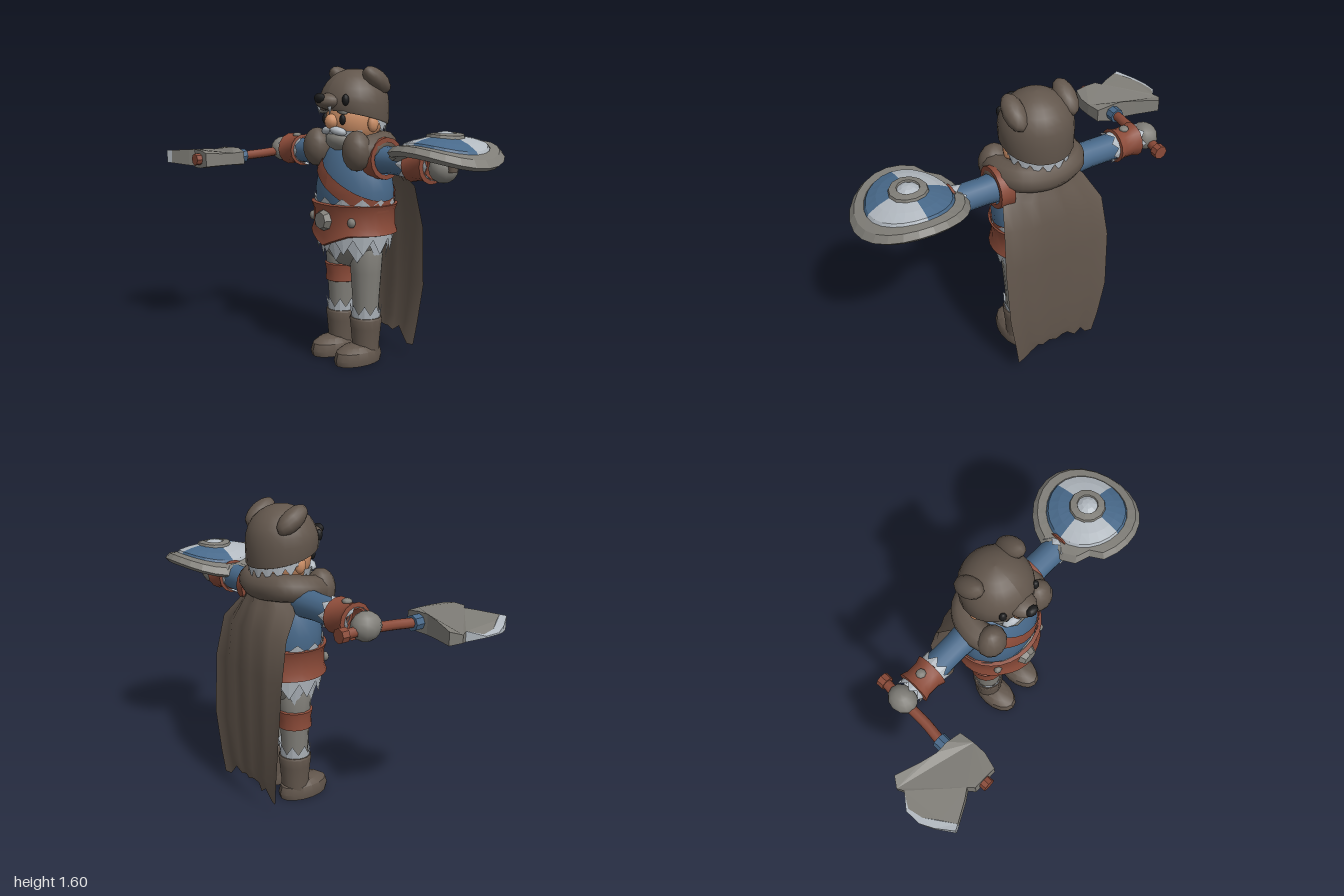
import * as THREE from 'three';
import { toCreasedNormals } from 'three/addons/utils/BufferGeometryUtils.js';

const CX = 0.04, CZ = -0.185;
const V = (x, y, z) => new THREE.Vector3(x, y, z);

function colour(name, hex, open) {
  const m = new THREE.MeshStandardMaterial({ color: hex });
  m.name = name;
  if (open) m.side = THREE.DoubleSide;
  return m;
}
function add(parent, name, geo, mat, x = 0, y = 0, z = 0) {
  const m = new THREE.Mesh(geo, mat);
  m.name = name;
  m.position.set(x, y, z);
  parent.add(m);
  return m;
}
function flat(geo) {
  const g = geo.index ? geo.toNonIndexed() : geo;
  g.computeVertexNormals();
  return g;
}
function lathe(pts, seg = 16, sx = 1, sz = 1, start = 0, len = Math.PI * 2) {
  return new THREE.LatheGeometry(pts.map(p => new THREE.Vector2(p[0], p[1])), seg, start, len).scale(sx, 1, sz);
}
const crease = g => toCreasedNormals(g, 0.6);
const ball = (rx, ry, rz, w = 16, h = 10) => new THREE.SphereGeometry(1, w, h).scale(rx, ry, rz);

// move every vertex by a rule
function warp(geo, rule) {
  const p = geo.attributes.position, v = V(0, 0, 0);
  for (let i = 0; i < p.count; i++) {
    v.fromBufferAttribute(p, i);
    rule(v);
    p.setXYZ(i, v.x, v.y, v.z);
  }
  geo.computeVertexNormals();
  return geo;
}
// grid surface from a function of u and v
function sheet(nu, nv, fn) {
  const pos = [], idx = [];
  for (let j = 0; j <= nv; j++) for (let i = 0; i <= nu; i++) pos.push(...fn(i, j));
  for (let j = 0; j < nv; j++) for (let i = 0; i < nu; i++) {
    const a = j * (nu + 1) + i, b = a + nu + 1;
    idx.push(a, b, a + 1, b, b + 1, a + 1);
  }
  const g = new THREE.BufferGeometry();
  g.setAttribute('position', new THREE.Float32BufferAttribute(pos, 3));
  g.setIndex(idx);
  g.computeVertexNormals();
  return g;
}
// ring of pointed fur tufts running from y0 to tips at y1
function fur(rx, rz, y0, y1, n, flare = 0.06, from = 0, len = Math.PI * 2) {
  return flat(sheet(2 * n, 1, (i, j) => {
    const a = from + len * i / (2 * n), tip = i % 2 ? 0.35 : 1;
    const r = j ? 1 + flare * tip : 1;
    return [rx * r * Math.sin(a), j ? y0 + (y1 - y0) * tip : y0, rz * r * Math.cos(a)];
  }));
}

export function createModel() {
  const root = new THREE.Group();
  root.name = 'warrior';
  const brown = colour('brown hide', 0x62564c, true), leather = colour('red leather', 0x8a4a38, true);
  const light = colour('pale fur', 0xb2b9c0, true), grey = colour('grey', 0x807e78);
  const blue = colour('blue cloth', 0x48698a), skin = colour('skin', 0xcf9168), black = colour('black', 0x1b1b1c);

  // torso and pelvis
  const prof = [[0.2, 0.72], [0.235, 0.84], [0.243, 0.95], [0.225, 1.05], [0.18, 1.14], [0.12, 1.2], [0, 1.24]];
  add(root, 'torso', lathe(prof, 20, 1, 0.78), blue, CX, 0, CZ);
  add(root, 'pelvis', lathe([[0, 0.5], [0.1, 0.53], [0.17, 0.6], [0.21, 0.69], [0.22, 0.75], [0, 0.76]], 14, 1, 0.84), grey, CX, 0, CZ);
  const halfWidth = y => {
    const i = Math.min(prof.findIndex(p => p[1] > y), prof.length - 1), a = prof[i - 1], b = prof[i];
    return a[0] + (b[0] - a[0]) * (y - a[1]) / (b[1] - a[1]);
  };
  // diagonal strap following the torso
  add(root, 'chestStrap', sheet(32, 3, (i, j) => {
    const a = i / 32 * Math.PI * 2, y = 1.0 - 0.14 * Math.sin(a) + (0.5 - j / 3) * 0.085;
    const r = halfWidth(y) + 0.008;
    return [r * Math.sin(a), y, (r * 0.78 + 0.002) * Math.cos(a)];
  }), leather, CX, 0, CZ);

  // belt with a dipped front, buckle and studs
  const belt = lathe([[0.235, 0.715], [0.254, 0.72], [0.24, 0.76], [0.24, 0.84], [0.254, 0.875], [0.23, 0.88]], 28, 1, 0.87);
  warp(belt, v => { if (v.z > 0 && v.y < 0.8) v.y -= 0.065 * Math.max(0, 1 - Math.abs(v.x) / 0.16); });
  add(root, 'belt', crease(belt), leather, CX, 0, CZ);
  add(root, 'buckle', flat(new THREE.CylinderGeometry(0.045, 0.06, 0.035, 8).rotateX(Math.PI / 2)), grey, CX, 0.79, 0.035);
  for (const s of [-1, 1]) add(root, 'beltStud', ball(0.024, 0.026, 0.02, 8, 6), grey, CX + s * 0.165, 0.79, -0.03);
  add(root, 'upperBeltFur', fur(0.24, 0.195, 0.85, 0.915, 13, 0.05), light, CX, 0, CZ);
  add(root, 'skirtFur', fur(0.235, 0.205, 0.74, 0.61, 12, -0.08), light, CX, 0, CZ);
  add(root, 'innerSkirtFur', fur(0.222, 0.19, 0.72, 0.565, 9, -0.16, 0.2), light, CX, 0, CZ);

  // legs and boots
  for (const s of [-1, 1]) {
    const leg = new THREE.Group();
    leg.name = s < 0 ? 'rightLeg' : 'leftLeg';
    leg.position.set(CX + s * 0.105, 0, CZ);
    root.add(leg);
    add(leg, 'trouser', lathe([[0.07, 0.22], [0.075, 0.36], [0.085, 0.5], [0.092, 0.6], [0.07, 0.68]], 12), grey);
    add(leg, 'bootShaft', crease(lathe([[0.075, 0.03], [0.076, 0.1], [0.084, 0.19], [0.09, 0.24], [0.085, 0.25], [0.06, 0.25]], 14)), brown);
    add(leg, 'bootFoot', crease(lathe([[0, 0], [0.95, 0], [1, 0.03], [0.92, 0.07], [0.65, 0.095], [0, 0.105]], 16, 0.09, 0.152)), brown, 0, 0, 0.053);
    add(leg, 'bootFur', fur(0.078, 0.078, 0.245, 0.325, 8, 0.14), light);
    if (s < 0) add(leg, 'thighStrap', crease(lathe([[0.08, 0.415], [0.093, 0.42], [0.088, 0.47], [0.097, 0.515], [0.085, 0.52]], 14)), leather);
  }

  // arms, built along local +x
  for (const s of [-1, 1]) {
    const arm = new THREE.Group();
    arm.name = s < 0 ? 'rightArm' : 'leftArm';
    arm.position.set(CX, 1.118, CZ);
    if (s < 0) arm.rotation.y = Math.PI;
    root.add(arm);
    const along = g => g.rotateZ(-Math.PI / 2);
    add(arm, 'sleeve', along(lathe([[0.075, 0.06], [0.078, 0.2], [0.07, 0.3], [0.07, 0.5]], 14)), blue);
    add(arm, 'cuff', crease(along(lathe([[0.068, 0.46], [0.092, 0.465], [0.08, 0.5], [0.08, 0.56], [0.092, 0.593], [0.06, 0.597]], 14))), leather);
    add(arm, 'cuffFur', along(fur(0.074, 0.074, 0.47, 0.415, 8, 0.15)), light);
    add(arm, 'wristFur', along(fur(0.068, 0.068, 0.585, 0.63, 7, 0.1)), light);
    add(arm, 'hand', ball(0.068, 0.072, 0.08, 12, 8), grey, 0.668, -0.005, 0);
    add(arm, 'cuffStud', ball(0.026, 0.016, 0.026, 8, 6), grey, 0.53, 0.082, 0);
  }
  // band round the left shoulder
  add(root, 'shoulderBand', crease(lathe([[0.1, -0.035], [0.12, -0.035], [0.112, 0], [0.11, 0.035], [0.085, 0.035]], 16)
    .rotateZ(-Math.PI / 2)), leather, 0.262, 1.125, -0.19);

  // fur collar with hanging ends
  const collar = new THREE.CatmullRomCurve3([V(-0.13, 1.16, -0.06), V(-0.15, 1.18, -0.16), V(-0.1, 1.19, -0.27), V(CX, 1.18, -0.305),
    V(0.18, 1.19, -0.27), V(0.23, 1.18, -0.16), V(0.21, 1.16, -0.06)]);
  add(root, 'furCollar', new THREE.TubeGeometry(collar, 28, 0.072, 10), brown);
  for (const s of [-1, 1]) add(root, 'collarEnd', ball(0.083, 0.105, 0.075, 12, 9), brown, CX + s * 0.168, 1.165, -0.06);

  // cape: rows of height, left edge, right edge, depth, edge curl
  const rows = [[1.18, -0.1, 0.18, -0.33, 0.08], [1.08, -0.19, 0.28, -0.365, 0.1], [0.97, -0.245, 0.325, -0.41, 0.05],
    [0.75, -0.265, 0.345, -0.425, 0.02], [0.42, -0.258, 0.335, -0.428, 0], [0.2, -0.225, 0.3, -0.422, 0], [0.1, -0.2, 0.28, -0.412, 0]];
  const tatter = [-0.03, -0.03, 0.03, 0.0, 0.03, 0.04, 0.03, 0.035, 0.02, 0.05, 0.01, -0.03, -0.03];
  add(root, 'cape', sheet(12, rows.length - 1, (i, j) => {
    const [y, l, r, z, curl] = rows[j], u = i / 6 - 1;
    return [l + (r - l) * i / 12, y + (j === rows.length - 1 ? tatter[i] : 0), z + curl * u * u + 0.007 * Math.sin(i * 1.9)];
  }), brown);

  // head and face
  const head = new THREE.Group();
  head.name = 'head';
  head.position.set(CX, 0, -0.18);
  root.add(head);
  add(head, 'face', ball(0.145, 0.16, 0.158), skin, 0, 1.325, 0);
  add(head, 'nose', ball(0.042, 0.04, 0.035, 10, 8), skin, 0, 1.31, 0.155);
  add(head, 'beard', ball(0.1, 0.065, 0.1, 10, 7), grey, 0, 1.215, 0.075);
  add(head, 'beardFringe', fur(0.13, 0.14, 1.265, 1.185, 7, -0.2, -1.4, 2.8), light, 0, 0, 0.025);
  for (const s of [-1, 1]) {
    add(head, 'eye', ball(0.019, 0.028, 0.014, 10, 8), black, s * 0.073, 1.322, 0.138);
    const brow = add(head, 'eyebrow', ball(0.04, 0.015, 0.022, 8, 6), grey, s * 0.075, 1.365, 0.142);
    brow.rotation.z = -s * 0.2;
    const tache = add(head, 'moustache', ball(0.055, 0.022, 0.03, 8, 6), light, s * 0.045, 1.262, 0.145);
    tache.rotation.set(0, s * 0.3, -s * 0.2);
    add(head, 'ear', ball(0.025, 0.045, 0.032, 8, 8), skin, s * 0.155, 1.3, 0);
  }

  // animal hood with sloping rim
  const dome = [[0.178, 1.325], [0.188, 1.33], [0.19, 1.4]];
  for (let i = 1; i <= 7; i++) dome.push([0.19 * Math.cos(i * Math.PI / 14), 1.4 + 0.185 * Math.sin(i * Math.PI / 14)]);
  const slope = v => { v.y += 0.25 * v.z * THREE.MathUtils.clamp((1.45 - v.y) / 0.12, 0, 1); };
  add(head, 'hood', warp(lathe(dome, 24, 0.985, 0.985), slope), brown);
  add(head, 'hoodTeeth', flat(warp(fur(0.175, 0.175, 1.335, 1.265, 9, -0.03, Math.PI * 0.5, Math.PI), slope)), light);
  add(head, 'hoodMuzzle', ball(0.075, 0.045, 0.09, 12, 8), brown, 0, 1.415, 0.155);
  add(head, 'hoodNose', ball(0.036, 0.027, 0.024, 8, 6), black, 0, 1.433, 0.232);
  for (const s of [-1, 1]) {
    add(head, 'hoodEye', ball(0.02, 0.03, 0.018, 10, 8), black, s * 0.112, 1.425, 0.15);
    const ear = add(head, 'hoodEar', ball(0.056, 0.052, 0.1, 12, 8), brown, s * 0.14, 1.525, -0.035);
    ear.rotation.x = -0.63;
    add(head, 'fang', new THREE.ConeGeometry(0.012, 0.045, 5).rotateX(Math.PI), light, s * 0.045, 1.368, 0.2);
  }

  // axe
  const axe = new THREE.Group();
  axe.name = 'axe';
  root.add(axe);
  const shaft = new THREE.CatmullRomCurve3([V(-0.622, 1.095, -0.34), V(-0.632, 1.1, -0.19), V(-0.636, 1.09, -0.02),
    V(-0.65, 1.083, 0.1), V(-0.648, 1.08, 0.41)]);
  add(axe, 'handle', new THREE.TubeGeometry(shaft, 20, 0.026, 8), leather);
  const peg = (name, mat, r, len, x, y, z) => add(axe, name, crease(new THREE.CylinderGeometry(r, r, len, 8).rotateX(Math.PI / 2)), mat, x, y, z);
  peg('pommel', leather, 0.037, 0.04, -0.622, 1.095, -0.322);
  peg('binding', blue, 0.04, 0.05, -0.65, 1.082, 0.105);
  peg('handleTip', leather, 0.033, 0.035, -0.648, 1.08, 0.395);
  const thick = x => x > -0.66 ? 0.055 - 0.2 * (x + 0.66) : x > -0.92 ? 0.055 + (x + 0.66) * 0.08 : 0.004 + (x + 1) * 0.37;
  const blade = pts => {
    const s = new THREE.Shape(pts.map(p => new THREE.Vector2(p[0], -p[1])));
    const g = new THREE.ExtrudeGeometry(s, { depth: 1, bevelEnabled: false }).rotateX(-Math.PI / 2);
    return flat(warp(g, v => { v.y = 1.08 + (v.y - 0.5) * 2 * thick(v.x); }));
  };
  const inner = [[-0.94, 0.14], [-0.985, 0.21], [-0.97, 0.29], [-0.925, 0.36], [-0.88, 0.435]];
  add(axe, 'axeHead', blade([[-0.55, 0.22], [-0.56, 0.14], [-0.64, 0.128], [-0.705, 0.13], [-0.79, 0.105], [-0.92, 0.055], [-0.957, 0.105],
    ...inner, [-0.775, 0.38], [-0.73, 0.35], [-0.705, 0.38], [-0.64, 0.38], [-0.575, 0.38], [-0.55, 0.295]]), grey);
  add(axe, 'cuttingEdge', blade([...inner].reverse().concat([[-1, 0.21], [-1, 0.295], [-0.968, 0.365], [-0.91, 0.45]])), light);

  // round shield, bent down along x
  const shield = new THREE.Group();
  shield.name = 'shield';
  shield.position.set(0.717, 0, -0.18);
  root.add(shield);
  const bend = g => flat(warp(g, v => {
    const a = Math.atan2(v.z, -v.x), r = Math.hypot(v.x, v.z);
    if (r > 0.23 && Math.abs(a - 0.85) < 0.12) { v.x *= 0.88; v.z *= 0.88; }
    v.y -= 0.9 * v.x * v.x;
  }));
  add(shield, 'shieldRim', bend(lathe([[0, 1.2], [0.12, 1.2], [0.21, 1.185], [0.26, 1.185], [0.28, 1.21], [0.255, 1.235], [0.21, 1.235], [0.205, 1.21]], 24)), grey);
  for (let q = 0; q < 4; q++) add(shield, 'shieldQuarter', bend(lathe([[0.212, 1.225], [0.2, 1.245], [0.15, 1.258], [0.085, 1.268]], 6, 1, 1,
    q * Math.PI / 2, Math.PI / 2)), q % 2 ? light : blue);
  add(shield, 'shieldBoss', bend(lathe([[0.098, 1.255], [0.09, 1.28], [0.055, 1.285], [0.05, 1.27]], 12)), grey);
  add(shield, 'bossCentre', bend(lathe([[0.056, 1.275], [0.03, 1.288], [0, 1.293]], 8)), light);
  add(shield, 'shieldGrip', new THREE.CylinderGeometry(0.03, 0.025, 0.1, 8), brown, 0.05, 1.15, 0);

  return root;
}
